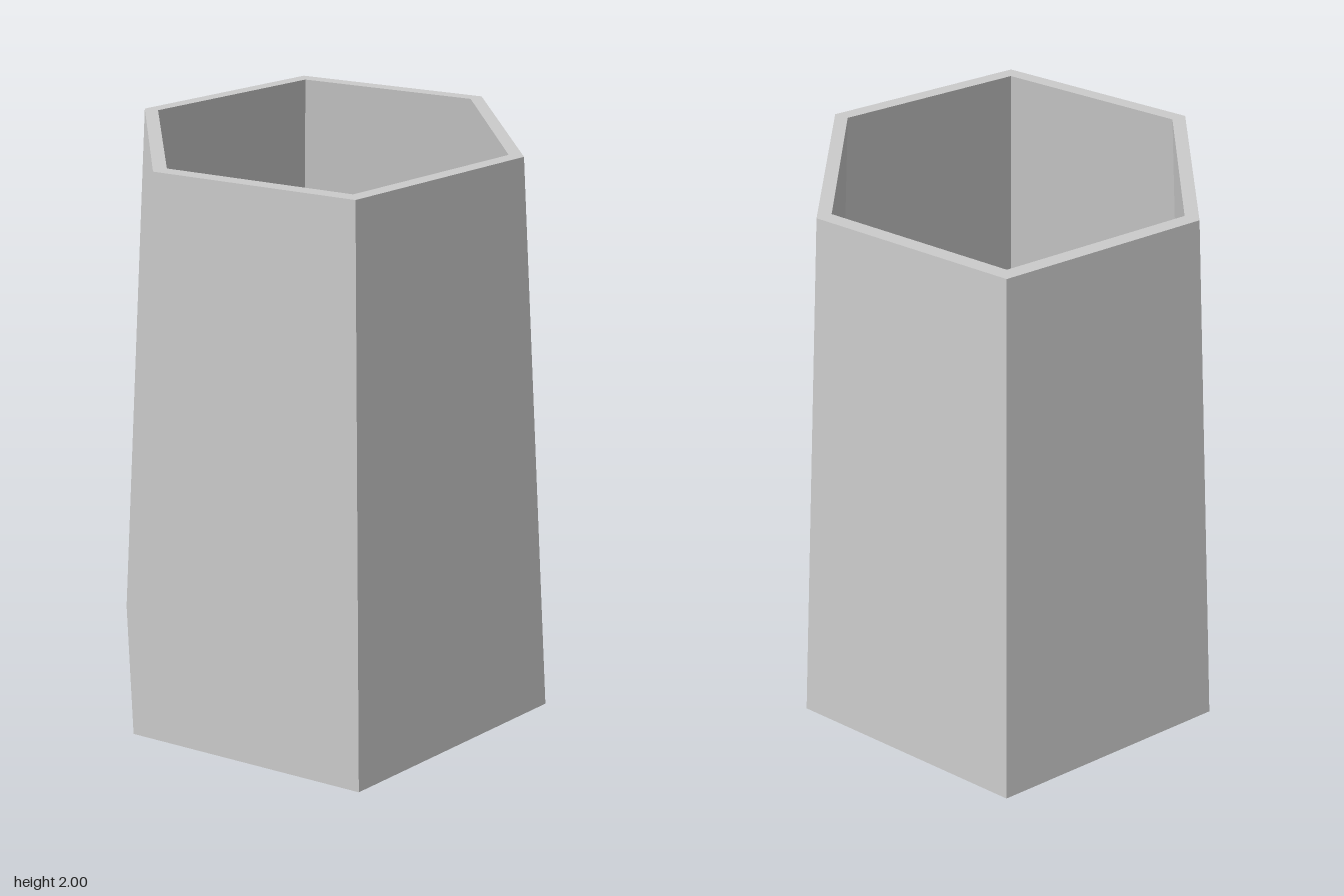
import * as THREE from 'three';
import { toCreasedNormals } from 'three/addons/utils/BufferGeometryUtils.js';

const SIDES = 6;
const BASE_R = 0.84, RIM_R = 0.665, HEIGHT = 2;
const WALL = 0.05;
const FLOOR_EDGE = 0.28, FLOOR_CENTRE = 0.03;

export function createModel() {
  const group = new THREE.Group();
  group.name = 'hexagonalVase';

  const grey = new THREE.MeshStandardMaterial({ color: 0xcccccc });
  grey.name = 'grey';

  // Outer radius of the tapered wall at height y
  const radiusAt = (y) => THREE.MathUtils.lerp(BASE_R, RIM_R, y / HEIGHT);

  // Six-sided turned part; faces point outward where the profile climbs
  const addPart = (name, profile) => {
    const points = profile.map(([r, y]) => new THREE.Vector2(r, y));
    const lathe = new THREE.LatheGeometry(points, SIDES, Math.PI / 2);
    const mesh = new THREE.Mesh(toCreasedNormals(lathe, Math.PI / 6), grey);
    mesh.name = name;
    group.add(mesh);
  };

  // Flat underside, tapered outside and narrow flat rim
  addPart('outerShell', [
    [0, 0], [BASE_R, 0], [RIM_R, HEIGHT], [RIM_R - WALL, HEIGHT],
  ]);

  // Hollow inside: wall parallel to the outside, shallow dished floor
  addPart('innerWall', [
    [RIM_R - WALL, HEIGHT], [radiusAt(FLOOR_EDGE) - WALL, FLOOR_EDGE],
  ]);
  addPart('dishedFloor', [
    [radiusAt(FLOOR_EDGE) - WALL, FLOOR_EDGE], [0, FLOOR_CENTRE],
  ]);

  return group;
}
